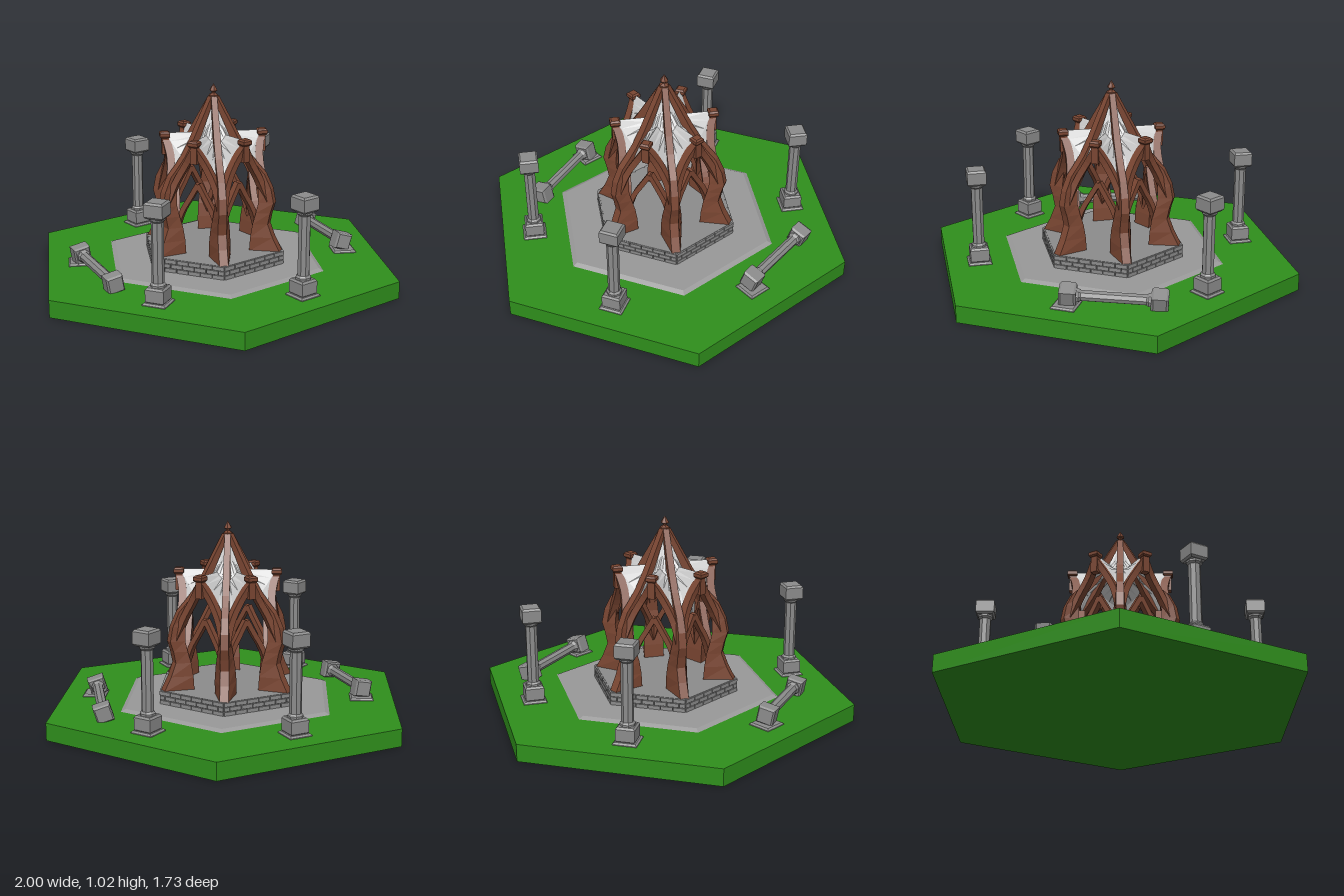
import * as THREE from 'three';

const paint = (color) => new THREE.MeshStandardMaterial({ color, flatShading: true, side: THREE.DoubleSide });
const grass = paint(0x2f8f1c), paving = paint(0x999999), stone = paint(0x8c8c8c);
const wood = paint(0x7a4632), canvas = paint(0xcccccc);
const V = (x, y, z) => new THREE.Vector3(x, y, z);

function add(parent, name, geometry, material, x = 0, y = 0, z = 0) {
  const mesh = new THREE.Mesh(geometry, material);
  mesh.name = name;
  mesh.position.set(x, y, z);
  parent.add(mesh);
  return mesh;
}

function part(parent, name, angle = 0) {
  const group = new THREE.Group();
  group.name = name;
  group.rotation.y = angle;
  parent.add(group);
  return group;
}

// Hexagonal slab with corners on the x axis, standing on y
function hexSlab(parent, name, top, bottom, y, height, material) {
  const geometry = new THREE.CylinderGeometry(top, bottom, height, 6).rotateY(Math.PI / 6);
  return add(parent, name, geometry, material, 0, y + height / 2, 0);
}

// Turned solid; sides = 4 gives a square block whose half width is the radius
function turned(points, sides) {
  const k = 1 / Math.cos(Math.PI / sides);
  return new THREE.LatheGeometry(points.map(([r, y]) => new THREE.Vector2(r * k, y)), sides)
    .rotateY(Math.PI / sides).toNonIndexed();
}

// Skin over a list of equal rings of points, optionally closed into a solid
function loft(rings, closed = true) {
  const pos = [], n = rings[0].length;
  const quad = (a, b, c, d) => [a, b, c, a, c, d].forEach((p) => pos.push(p.x, p.y, p.z));
  for (let j = 0; j < rings.length - 1; j++)
    for (let i = 0; i < (closed ? n : n - 1); i++) {
      const m = (i + 1) % n;
      quad(rings[j][i], rings[j][m], rings[j + 1][m], rings[j + 1][i]);
    }
  if (closed) {
    quad(...[...rings[0]].reverse());
    quad(...rings[rings.length - 1]);
  }
  const geometry = new THREE.BufferGeometry();
  geometry.setAttribute('position', new THREE.Float32BufferAttribute(pos, 3));
  geometry.computeVertexNormals();
  return geometry;
}

// Rectangular beam along a smooth curve, with its depth facing +x
function beam(points, width, depth) {
  const curve = new THREE.CatmullRomCurve3(points), rings = [];
  for (let i = 0; i <= 10; i++) {
    const p = curve.getPoint(i / 10), t = curve.getTangent(i / 10);
    const across = V(1, 0, 0).cross(t).normalize();
    const out = t.clone().cross(across).normalize();
    rings.push([[-1, -1], [1, -1], [1, 1], [-1, 1]].map(([a, b]) =>
      p.clone().addScaledVector(across, a * width / 2).addScaledVector(out, b * depth / 2)));
  }
  return loft(rings);
}

// Pillar with chamfered base and capital, built upward from y = 0
function pillar(parent, name) {
  const group = part(parent, name);
  const block = (h) => turned([[0, 0], [0.04, 0], [0.048, 0.01], [0.048, h - 0.01], [0.04, h], [0, h]], 4);
  add(group, 'pillarBase', block(0.08), stone);
  add(group, 'pillarShaft', turned([[0.036, 0.075], [0.036, 0.09], [0.028, 0.1], [0.028, 0.4], [0.036, 0.41], [0.036, 0.425]], 8), stone);
  add(group, 'pillarCapital', block(0.08), stone, 0, 0.42, 0);
  return group;
}

// Leg and roof rib in one sweep: [y, inner radius, outer radius, inner half width, outer half width]
const LEG = [
  [0.165, 0.22, 0.375, 0.055, 0.022], [0.24, 0.225, 0.335, 0.055, 0.022], [0.31, 0.235, 0.308, 0.05, 0.022],
  [0.37, 0.25, 0.32, 0.042, 0.022], [0.425, 0.26, 0.337, 0.034, 0.02], [0.5, 0.255, 0.322, 0.026, 0.019],
  [0.575, 0.225, 0.285, 0.019, 0.018], [0.62, 0.185, 0.24, 0.018, 0.018], [0.67, 0.145, 0.195, 0.018, 0.018],
  [0.745, 0.1, 0.145, 0.018, 0.018], [0.955, 0, 0.025, 0.015, 0.015],
];

function addBrickwork(bay) {
  for (let row = 0; row < 3; row++) {
    const shift = row % 2 ? 0.032 : 0;
    for (let i = 0; i < 7; i++) {
      const from = Math.max(-0.194, -0.194 + i * 0.0647 - shift);
      const to = Math.min(0.194, -0.194 + (i + 1) * 0.0647 - shift);
      if (to - from < 0.01) continue;
      add(bay, 'brick', new THREE.BoxGeometry(0.014, 0.02, to - from - 0.004), stone,
        0.332, 0.111 + row * 0.0235, (from + to) / 2);
    }
  }
}

function addBay(bay) {
  for (const s of [-1, 1]) {
    // Point on the neighbouring leg, and on this bay's centre plane
    const onLeg = (r, y) => V(r * 0.866, y, s * r * 0.5);
    const outer = [onLeg(0.3, 0.42), V(0.235, 0.55, s * 0.105), V(0.228, 0.65, s * 0.05), V(0.245, 0.735, 0)];
    const inner = [onLeg(0.245, 0.27), V(0.205, 0.39, s * 0.085), V(0.2, 0.47, s * 0.04), V(0.2, 0.54, 0)];
    add(bay, 'outerArch', beam(outer, 0.032, 0.04), wood);
    add(bay, 'innerArch', beam(inner, 0.026, 0.034), wood);

    // Roof sail between the rib and the dormer ridge, running down the arch
    const rib = [onLeg(0, 0.94), onLeg(0.07, 0.82), onLeg(0.12, 0.735), onLeg(0.18, 0.645), onLeg(0.23, 0.57), onLeg(0.26, 0.51), onLeg(0.3, 0.42)];
    const edge = [V(0, 0.94, 0), V(0.05, 0.82, 0), V(0.1, 0.77, 0), V(0.245, 0.77, 0), outer[2], outer[1], outer[0]];
    const rows = rib.map((a, j) => [0, 0.25, 0.5, 0.75, 1].map((t) => {
      const p = a.clone().lerp(edge[j], t);
      p.y -= Math.sin(t * Math.PI) * (j === 0 || j === 6 ? 0 : 0.012);
      return p;
    }));
    add(bay, 'roofSail', loft(rows, false), canvas);
  }
  // Dormer post with its cap
  add(bay, 'dormerPost', new THREE.BoxGeometry(0.036, 0.1, 0.036), wood, 0.25, 0.71, 0);
  add(bay, 'dormerCap', turned([[0, 0], [0.02, 0], [0.026, 0.008], [0.026, 0.024], [0.018, 0.032], [0, 0.032]], 4), wood, 0.252, 0.745, 0);
}

export function createModel() {
  const model = new THREE.Group();
  model.name = 'hexPavilion';

  // Ground, paving and platform
  hexSlab(model, 'ground', 1, 1, 0, 0.09, grass);
  hexSlab(model, 'paving', 0.58, 0.61, 0.088, 0.014, paving);
  hexSlab(model, 'platform', 0.382, 0.382, 0.1, 0.07, stone);

  // Pavilion: legs on the corners, arches, sails and bricks on the sides
  const pavilion = part(model, 'pavilion');
  const legGeometry = loft(LEG.map(([y, ri, ro, wi, wo]) =>
    [V(ri, y, -wi), V(ri, y, wi), V(ro, y, wo), V(ro, y, -wo)]));
  for (let k = 0; k < 6; k++) {
    add(pavilion, 'legAndRib', legGeometry, wood).rotation.y = k * Math.PI / 3;
    const bay = part(pavilion, 'bay', k * Math.PI / 3 + Math.PI / 6);
    addBay(bay);
    addBrickwork(bay);
  }
  add(pavilion, 'finial', turned([[0, 0.92], [0.025, 0.935], [0.022, 0.96], [0.008, 0.97], [0.01, 0.978], [0.019, 0.983], [0.016, 0.99], [0, 1.02]], 6), wood);

  // Plinths round the edge, four of them still carrying a pillar
  for (let k = 0; k < 6; k++) {
    const angle = k * Math.PI / 3 + Math.PI / 6;
    const x = 0.7 * Math.cos(angle), z = 0.7 * Math.sin(angle);
    const plinth = turned([[0.06, 0], [0.06, 0.006], [0.052, 0.014], [0, 0.014]], 4);
    add(model, 'plinth', plinth, stone, x, 0.088, z).rotation.y = -angle;
    if (k === 0 || k === 3) continue;
    const standing = pillar(model, 'standingPillar');
    standing.position.set(x, 0.097, z);
    standing.rotation.y = -angle;
  }

  // Two fallen pillars, each resting with its base on its plinth
  for (const [from, to] of [
    [V(0.588, 0.145, 0.38), V(0.742, 0.128, -0.12)],
    [V(-0.602, 0.145, -0.38), V(-0.692, 0.128, 0.12)],
  ]) {
    const fallen = pillar(model, 'fallenPillar');
    fallen.position.copy(from);
    fallen.scale.set(0.9, from.distanceTo(to) / 0.5, 0.9);
    fallen.quaternion.setFromUnitVectors(V(0, 1, 0), to.clone().sub(from).normalize());
  }
  return model;
}
